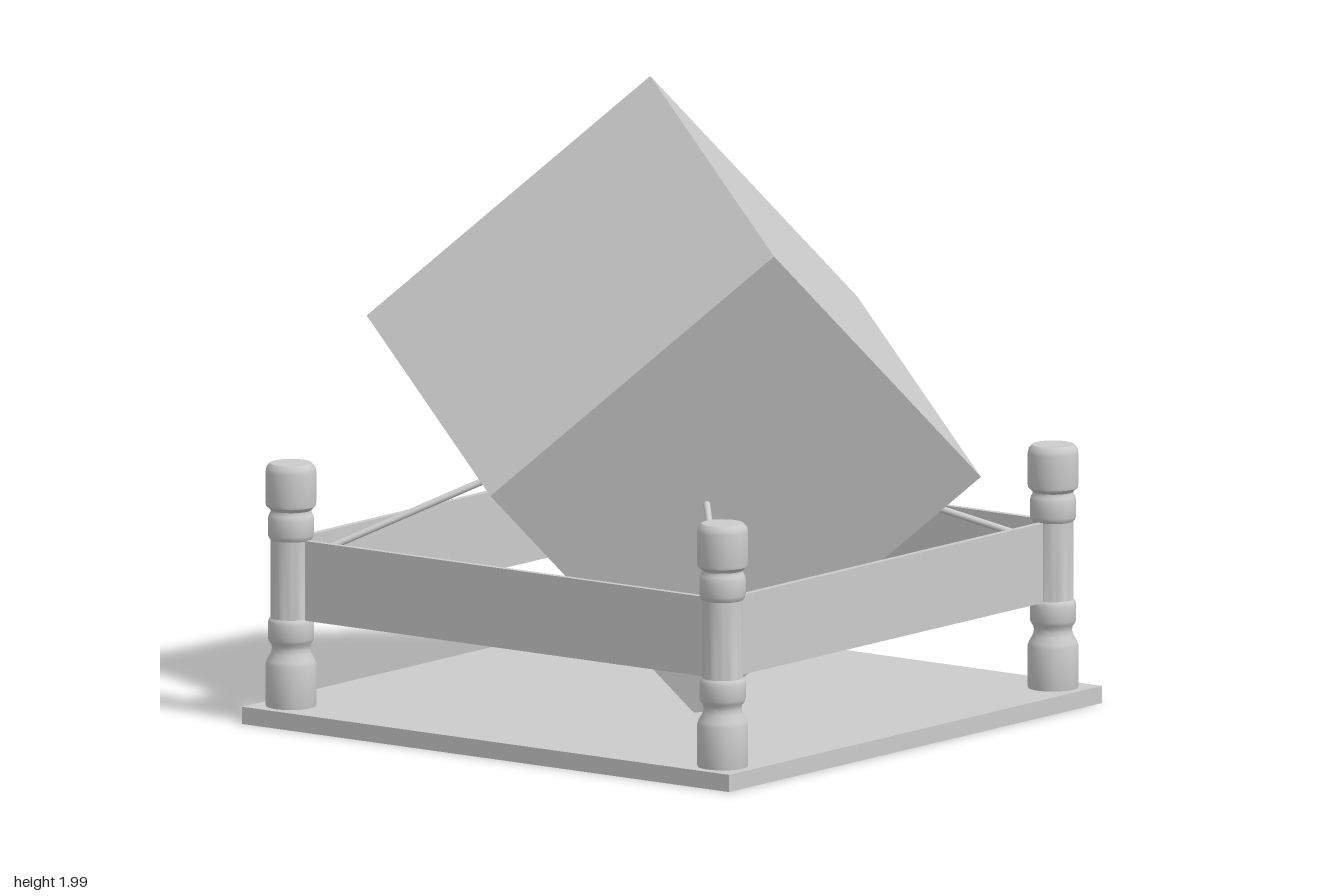
import * as THREE from 'three';
import { toCreasedNormals } from 'three/addons/utils/BufferGeometryUtils.js';

export function createModel() {
  const model = new THREE.Group();
  const grey = new THREE.MeshStandardMaterial({ color: 0xcccccc });
  const add = (name, geometry, x = 0, y = 0, z = 0) => {
    const mesh = new THREE.Mesh(geometry, grey);
    mesh.name = name;
    mesh.position.set(x, y, z);
    model.add(mesh);
    return mesh;
  };
  const off = -0.004; // the stand sits a touch off the cube's centre
  const reach = 0.855; // post distance from the middle

  // Base plate
  add('basePlate', new THREE.BoxGeometry(1.93, 0.055, 1.93), off, 0.0275, off);

  // Turned corner posts
  const profile = [
    [0, 0.05], [0.078, 0.05], [0.08, 0.06], [0.08, 0.19], [0.076, 0.202],
    [0.063, 0.225], [0.06, 0.24], [0.062, 0.252], [0.069, 0.262], [0.073, 0.272],
    [0.073, 0.322], [0.07, 0.332], [0.065, 0.338], [0.065, 0.588], [0.07, 0.595],
    [0.073, 0.605], [0.073, 0.655], [0.069, 0.668], [0.064, 0.676], [0.064, 0.682],
    [0.072, 0.69], [0.078, 0.695], [0.08, 0.705], [0.08, 0.805], [0.077, 0.82],
    [0.066, 0.832], [0, 0.832],
  ].map(([r, y]) => new THREE.Vector2(r, y));
  const postGeometry = toCreasedNormals(new THREE.LatheGeometry(profile, 36), 0.6);
  for (const sx of [-1, 1]) {
    for (const sz of [-1, 1]) {
      add('post', postGeometry, off + sx * reach, 0, off + sz * reach);
    }
  }

  // Rails between the posts
  const railGeometry = new THREE.BoxGeometry(2 * reach, 0.255, 0.02);
  for (const s of [-1, 1]) {
    add('rail', railGeometry, off, 0.4625, off + s * reach);
    add('sideRail', railGeometry, off + s * reach, 0.4625, off).rotation.y = Math.PI / 2;
  }

  // Tilted cube balanced on one corner
  const u = new THREE.Vector3(0.827, -0.805, 0.185).normalize();
  const w = u.clone().cross(new THREE.Vector3(-0.585, -0.755, -0.675)).normalize();
  const v = w.clone().cross(u);
  const cube = add('cube', new THREE.BoxGeometry(1.171, 1.171, 1.171), 0, 1.015, 0);
  cube.quaternion.setFromRotationMatrix(new THREE.Matrix4().makeBasis(u, v, w));

  // Thin rods from the posts to the cube's faces
  const tips = [
    [-0.365, 0.77, 0.41], [0.45, 0.715, 0.405],
    [0.51, 0.69, -0.55], [-0.35, 0.76, -0.445],
  ];
  for (const tip of tips) {
    const end = new THREE.Vector3(...tip);
    const start = new THREE.Vector3(
      off + Math.sign(end.x) * reach, 0.508, off + Math.sign(end.z) * reach);
    const dir = end.clone().sub(start);
    const rod = add('rod', new THREE.CylinderGeometry(0.011, 0.011, dir.length(), 12));
    rod.position.copy(start).addScaledVector(dir, 0.5);
    rod.quaternion.setFromUnitVectors(new THREE.Vector3(0, 1, 0), dir.normalize());
  }
  return model;
}
